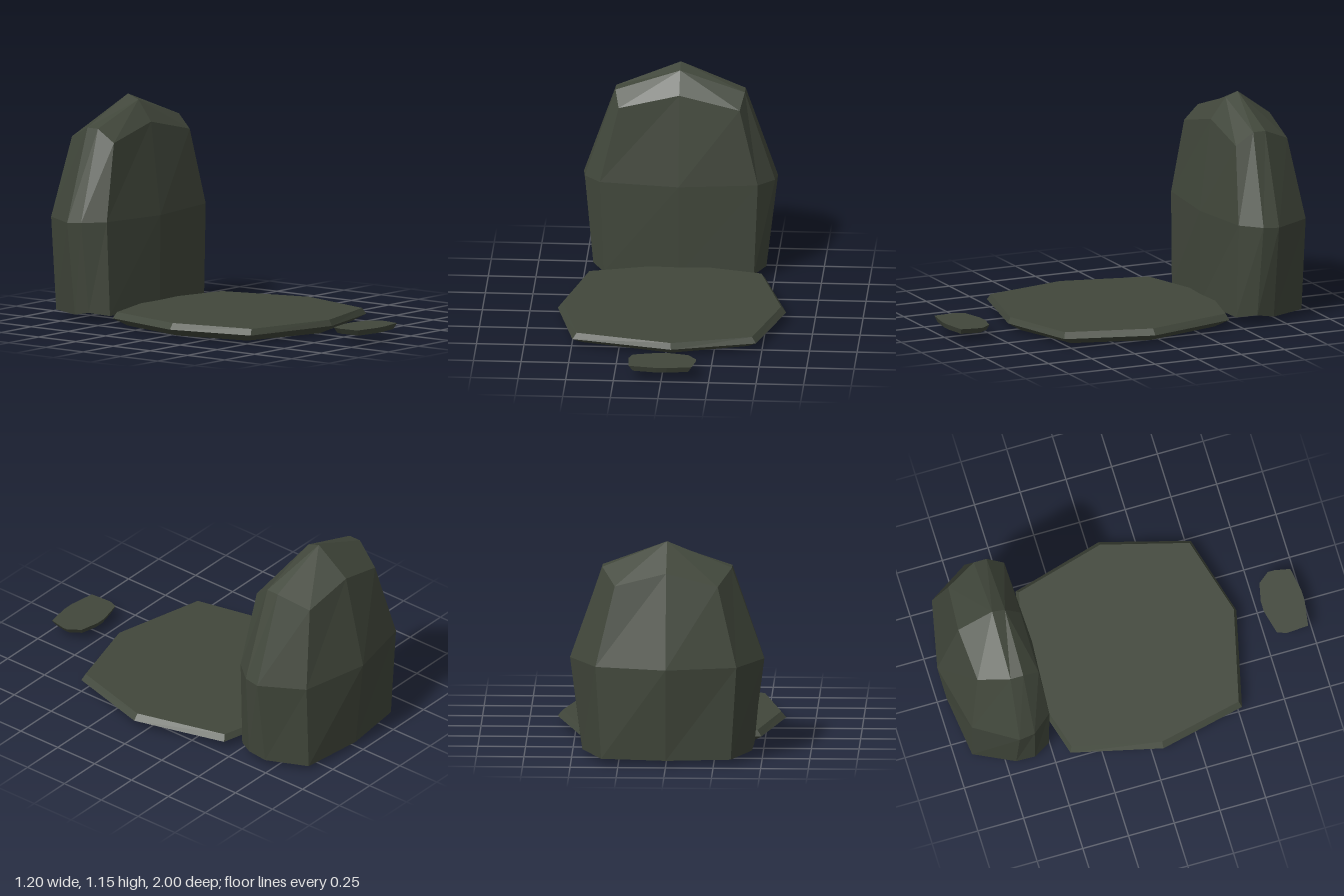
import * as THREE from 'three';

// Skin a stack of rings (bottom to top, each running front, right, back, left) and close both ends.
function loft(rings) {
  const pos = [];
  const tri = (a, b, c) => {
    if (a.distanceTo(b) > 1e-5 && b.distanceTo(c) > 1e-5 && c.distanceTo(a) > 1e-5) {
      for (const p of [a, b, c]) pos.push(p.x, p.y, p.z);
    }
  };
  const stack = rings.map(r => r.map(p => new THREE.Vector3(...p)));
  const n = stack[0].length;
  const centre = r => r.reduce((s, p) => s.add(p), new THREE.Vector3()).divideScalar(n);
  const low = stack[0], high = stack[stack.length - 1];
  const lowMid = centre(low), highMid = centre(high);
  for (let i = 0; i < n; i++) {
    const j = (i + 1) % n;
    for (let k = 0; k + 1 < stack.length; k++) {
      const a = stack[k], b = stack[k + 1];
      tri(a[i], a[j], b[j]);
      tri(a[i], b[j], b[i]);
    }
    tri(lowMid, low[j], low[i]);
    tri(highMid, high[i], high[j]);
  }
  const g = new THREE.BufferGeometry();
  g.setAttribute('position', new THREE.Float32BufferAttribute(pos, 3));
  g.computeVertexNormals();
  return g;
}

// Complete a ring from its right half (front centre to back centre) by mirroring in x.
const mirrored = half => [
  ...half,
  ...half.slice(1, -1).reverse().map(([x, y, z]) => [-x, y, z]),
];

// Scale a flat outline about a point on the z axis and set its height.
const ringAt = (outline, y, sx, sz, cz) =>
  outline.map(([x, z]) => [x * sx, y, cz + (z - cz) * sz]);

export function createModel() {
  const group = new THREE.Group();
  const stone = new THREE.MeshStandardMaterial({ color: 0x41473b, flatShading: true });
  stone.name = 'dark mossy stone';
  const add = (name, geometry) => {
    const mesh = new THREE.Mesh(geometry, stone);
    mesh.name = name;
    group.add(mesh);
  };

  // Upright stone: base, widest belt, shoulders and a short ridge on top
  const ridgeFront = [0, 1.135, -0.63], ridgeBack = [0, 1.16, -0.7];
  add('headstone', loft([
    mirrored([[0, 0.045, -0.485], [0.395, 0.045, -0.505], [0.455, 0.06, -0.6],
      [0.445, 0.04, -0.7], [0.34, 0.035, -0.91], [0, 0.035, -0.95]]),
    mirrored([[0, 0.535, -0.482], [0.415, 0.545, -0.51], [0.5, 0.54, -0.615],
      [0.51, 0.535, -0.7], [0.37, 0.53, -0.92], [0, 0.53, -1]]),
    mirrored([[0, 1.025, -0.545], [0.318, 0.95, -0.54], [0.34, 1.02, -0.63],
      [0.34, 1.02, -0.7], [0.27, 0.95, -0.86], [0, 1.025, -0.885]]),
    mirrored([ridgeFront, ridgeFront, ridgeFront, ridgeBack, ridgeBack, ridgeBack]),
  ]));

  // Grave slab: sunken underside, sharp rim, bevelled flat top
  const slab = [[0.03, 0.645], [0.47, 0.525], [0.6, 0.06], [0.46, -0.435],
    [0, -0.55], [-0.485, -0.415], [-0.6, 0.06], [-0.495, 0.52]];
  const underside = ringAt(slab, 0.015, 0.9, 0.87, 0.06);
  for (const i of [0, 4]) underside[i][1] = 0.008;
  add('graveSlab', loft([
    underside,
    ringAt(slab, 0.053, 1, 1, 0.06),
    ringAt(slab, 0.085, 0.955, 0.975, 0.06),
  ]));

  // Small loose stone in front of the slab
  const pebble = [[0.03, 1], [0.16, 0.978], [0.177, 0.895], [0.177, 0.86], [0.13, 0.8],
    [0.03, 0.778], [-0.03, 0.778], [-0.16, 0.81], [-0.178, 0.86], [-0.17, 0.978], [-0.03, 1]];
  add('smallStone', loft([
    ringAt(pebble, 0.055, 0.88, 0.9, 0.89),
    ringAt(pebble, 0.085, 1, 1, 0.89),
  ]));

  return group;
}
